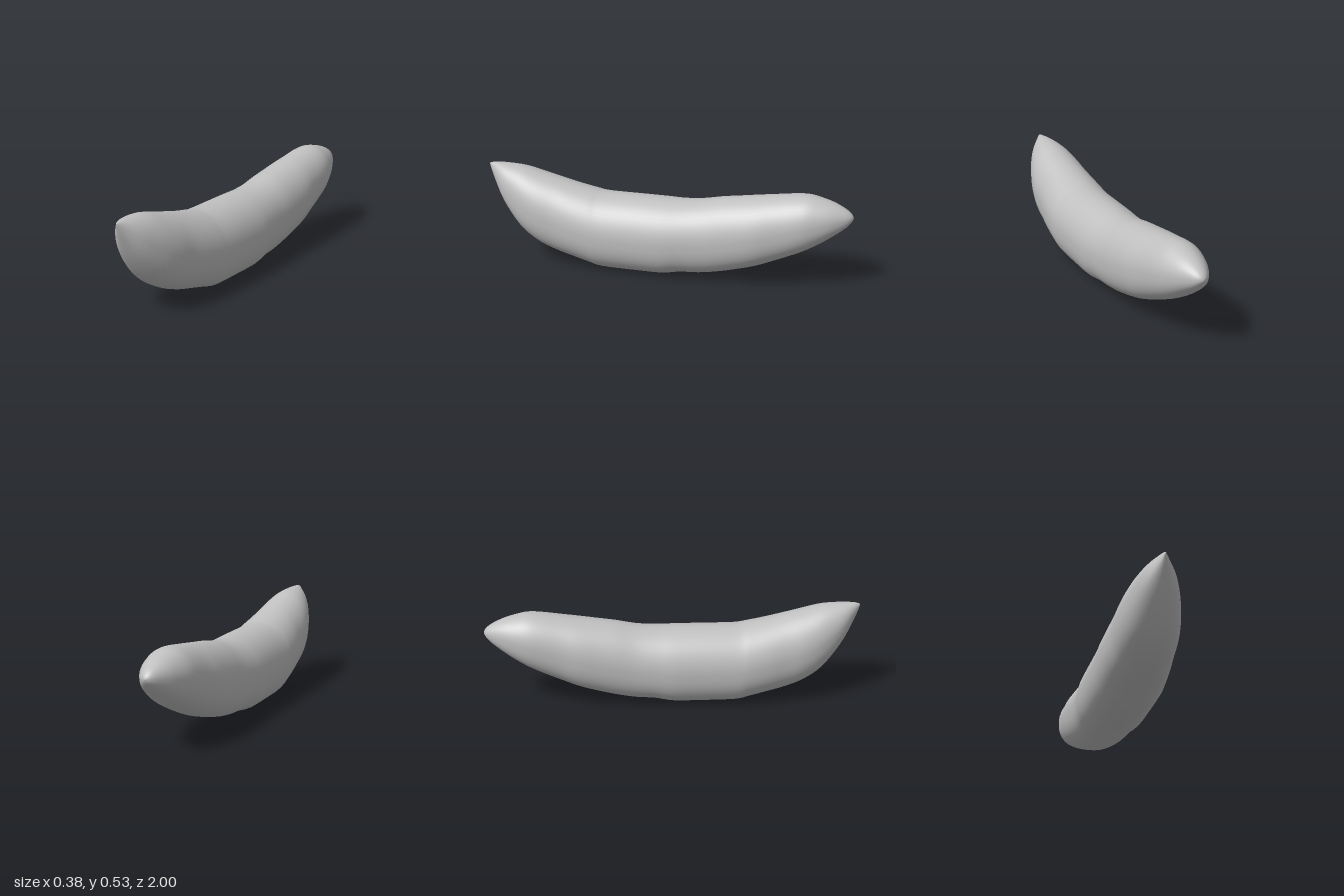
import * as THREE from 'three';

// Stations from the front tip to the back tip: [z, bottom, top, half width]
const STATIONS = [
  [1.0, 0.515, 0.525, 0.002], [0.97, 0.44, 0.533, 0.03], [0.9, 0.31, 0.533, 0.09],
  [0.8, 0.18, 0.525, 0.136], [0.7, 0.11, 0.5, 0.16], [0.6, 0.07, 0.475, 0.168],
  [0.5, 0.045, 0.45, 0.18], [0.4, 0.02, 0.43, 0.187], [0.33, 0.005, 0.42, 0.188],
  [0.15, 0.003, 0.42, 0.188], [0, 0.005, 0.42, 0.187], [-0.1, 0.022, 0.42, 0.178],
  [-0.2, 0.028, 0.43, 0.17], [-0.3, 0.045, 0.45, 0.168], [-0.4, 0.07, 0.465, 0.166],
  [-0.5, 0.1, 0.48, 0.163], [-0.6, 0.14, 0.495, 0.15], [-0.7, 0.185, 0.509, 0.141],
  [-0.77, 0.22, 0.512, 0.131], [-0.84, 0.263, 0.498, 0.11], [-0.9, 0.305, 0.48, 0.085],
  [-0.96, 0.352, 0.452, 0.05], [-0.99, 0.385, 0.428, 0.024], [-1.0, 0.405, 0.41, 0.002],
];

// Loft of closed rings: round on top, fuller and flatter underneath
function loftBody(rows, cols) {
  const lower = new THREE.SplineCurve(STATIONS.map((s) => new THREE.Vector2(s[0], s[1])));
  const upper = new THREE.SplineCurve(STATIONS.map((s) => new THREE.Vector2(s[2], s[3])));
  const positions = [];
  const index = [];
  for (let i = 0; i <= rows; i++) {
    const { x: z, y: bottom } = lower.getPoint(i / rows);
    const { x: top, y: halfWidth } = upper.getPoint(i / rows);
    const middle = (bottom + top) / 2;
    const halfHeight = (top - bottom) / 2;
    for (let j = 0; j < cols; j++) {
      const a = (j / cols) * Math.PI * 2;
      const c = Math.cos(a);
      const s = Math.sin(a);
      const power = s < 0 ? 2 / 2.4 : 1;
      positions.push(
        Math.sign(c) * Math.abs(c) ** power * halfWidth,
        middle + Math.sign(s) * Math.abs(s) ** power * halfHeight,
        z,
      );
      if (i === rows) continue;
      const p = i * cols + j;
      const q = i * cols + ((j + 1) % cols);
      index.push(p, p + cols, q, q, p + cols, q + cols);
    }
  }
  // Close both tips with a fan
  const last = rows * cols;
  for (let j = 1; j < cols - 1; j++) {
    index.push(0, j, j + 1, last, last + j + 1, last + j);
  }
  const geometry = new THREE.BufferGeometry();
  geometry.setAttribute('position', new THREE.Float32BufferAttribute(positions, 3));
  geometry.setIndex(index);
  geometry.computeVertexNormals();
  return geometry;
}

export function createModel() {
  const model = new THREE.Group();
  const grey = new THREE.MeshStandardMaterial({ color: 0xc0c0c0 });
  grey.name = 'light grey';
  const body = new THREE.Mesh(loftBody((STATIONS.length - 1) * 4, 48), grey);
  body.name = 'curvedBody';
  model.add(body);
  return model;
}
